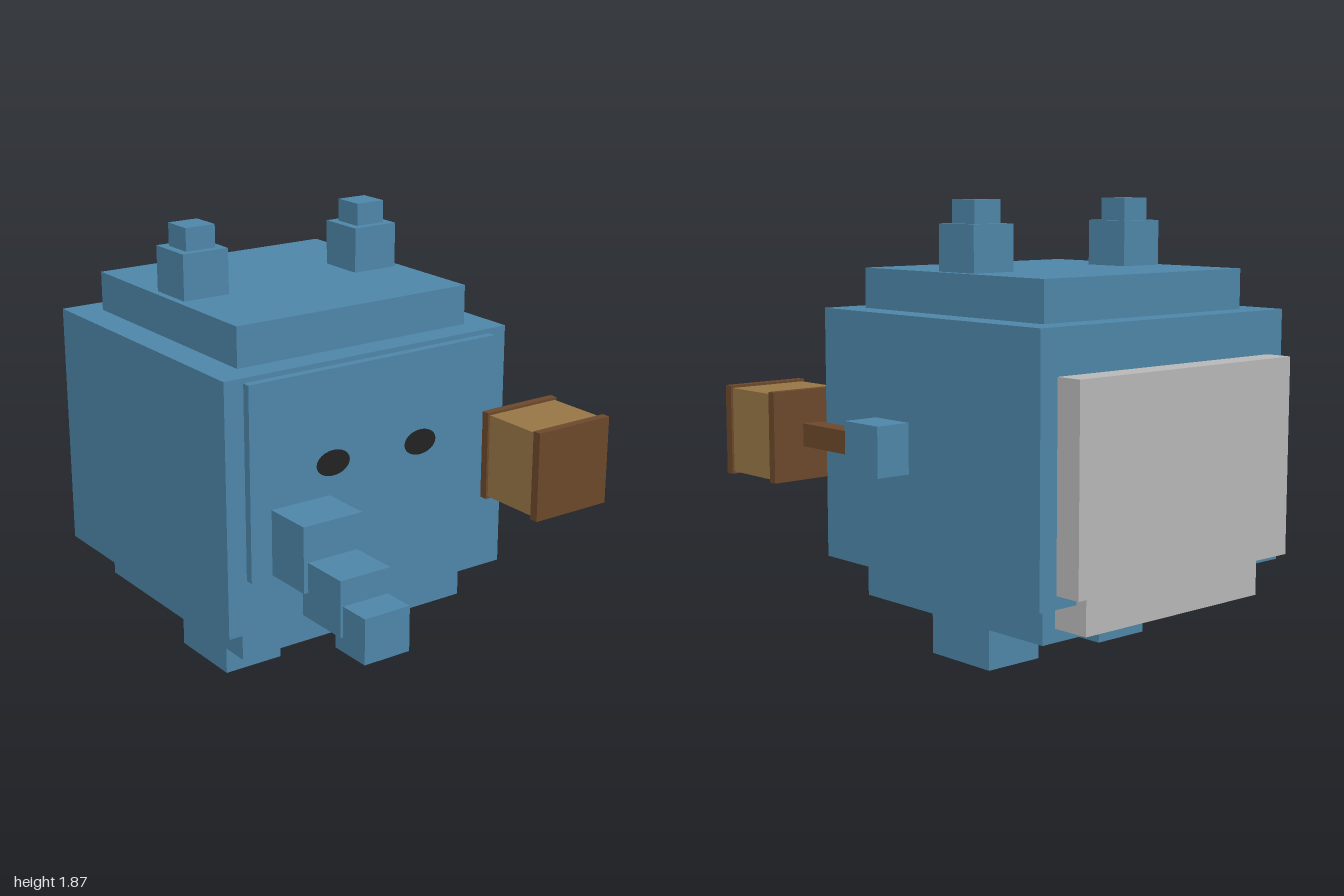
import * as THREE from 'three';

const material = (name, color) => {
  const m = new THREE.MeshStandardMaterial({ color });
  m.name = name;
  return m;
};

export function createModel() {
  const model = new THREE.Group();
  model.name = 'blockCreature';
  const blue = material('blue skin', 0x4e86a9);
  const grey = material('grey plate', 0xb8b8b8);
  const brown = material('brown wood', 0x6b482b);
  const tan = material('tan wood', 0x967646);
  const black = material('black eyes', 0x222222);

  // Box given by its [min, max] range on each axis
  const block = (name, mat, x, y, z, parent = model) => {
    const mesh = new THREE.Mesh(
      new THREE.BoxGeometry(x[1] - x[0], y[1] - y[0], z[1] - z[0]), mat);
    mesh.position.set((x[0] + x[1]) / 2, (y[0] + y[1]) / 2, (z[0] + z[1]) / 2);
    mesh.name = name;
    parent.add(mesh);
    return mesh;
  };
  const span = (centre, size) => [centre - size / 2, centre + size / 2];

  // Body with stepped top and bottom
  block('body', blue, [-0.8, 0.555], [0.378, 1.42], [-0.885, 0.405]);
  block('bodyTop', blue, [-0.67, 0.43], [1.42, 1.585], [-0.77, 0.293]);
  block('bodyBottom', blue, [-0.67, 0.43], [0.21, 0.378], [-0.77, 0.293]);
  block('facePlate', blue, [-0.715, 0.47], [0.605, 1.4], [0.405, 0.44]);

  // Back plates
  block('backPlate', grey, [-0.715, 0.47], [0.43, 1.24], [-1, -0.885]);
  block('lowerBackPlate', grey, [-0.61, 0.365], [0.265, 0.43], [-0.935, -0.77]);

  // Ears, feet and eyes in pairs
  for (const [side, sign] of [['right', -1], ['left', 1]]) {
    const earX = -0.122 + sign * 0.415;
    block(side + 'Ear', blue, span(earX, 0.207), [1.585, 1.773], span(-0.24, 0.207));
    block(side + 'EarTip', blue, span(earX, 0.134), [1.773, 1.867], span(-0.24, 0.134));
    block(side + 'Foot', blue, span(-0.122 + sign * 0.311, 0.27), [0, 0.168], [-0.35, 0]);

    const eye = new THREE.Mesh(new THREE.CircleGeometry(1, 24), black);
    eye.scale.set(0.079, 0.053, 1);
    eye.position.set(-0.122 + sign * 0.213, 1.02, 0.444);
    eye.name = side + 'Eye';
    model.add(eye);
  }

  // Stepped right arm reaching forward
  const arm = new THREE.Group();
  arm.name = 'rightArm';
  model.add(arm);
  block('upperArm', blue, span(-0.485, 0.27), [0.617, 0.887], [0.405, 0.655], arm);
  block('forearm', blue, span(-0.487, 0.227), [0.512, 0.74], [0.618, 0.865], arm);
  block('armTip', blue, span(-0.487, 0.205), [0.452, 0.636], [0.815, 1], arm);

  // Left hand holding a mallet
  block('leftHand', blue, [0.555, 0.71], [0.795, 1], [-0.135, 0.073]);
  const mallet = new THREE.Group();
  mallet.name = 'mallet';
  model.add(mallet);
  block('handle', brown, [0.56, 0.65], [0.85, 0.945], [0.073, 0.438], mallet);
  block('malletHead', tan, span(0.607, 0.355), span(0.897, 0.355), [0.475, 0.752], mallet);
  block('rearBand', brown, span(0.607, 0.375), span(0.897, 0.375), [0.438, 0.475], mallet);
  block('frontBand', brown, span(0.607, 0.375), span(0.897, 0.375), [0.752, 0.79], mallet);

  return model;
}
